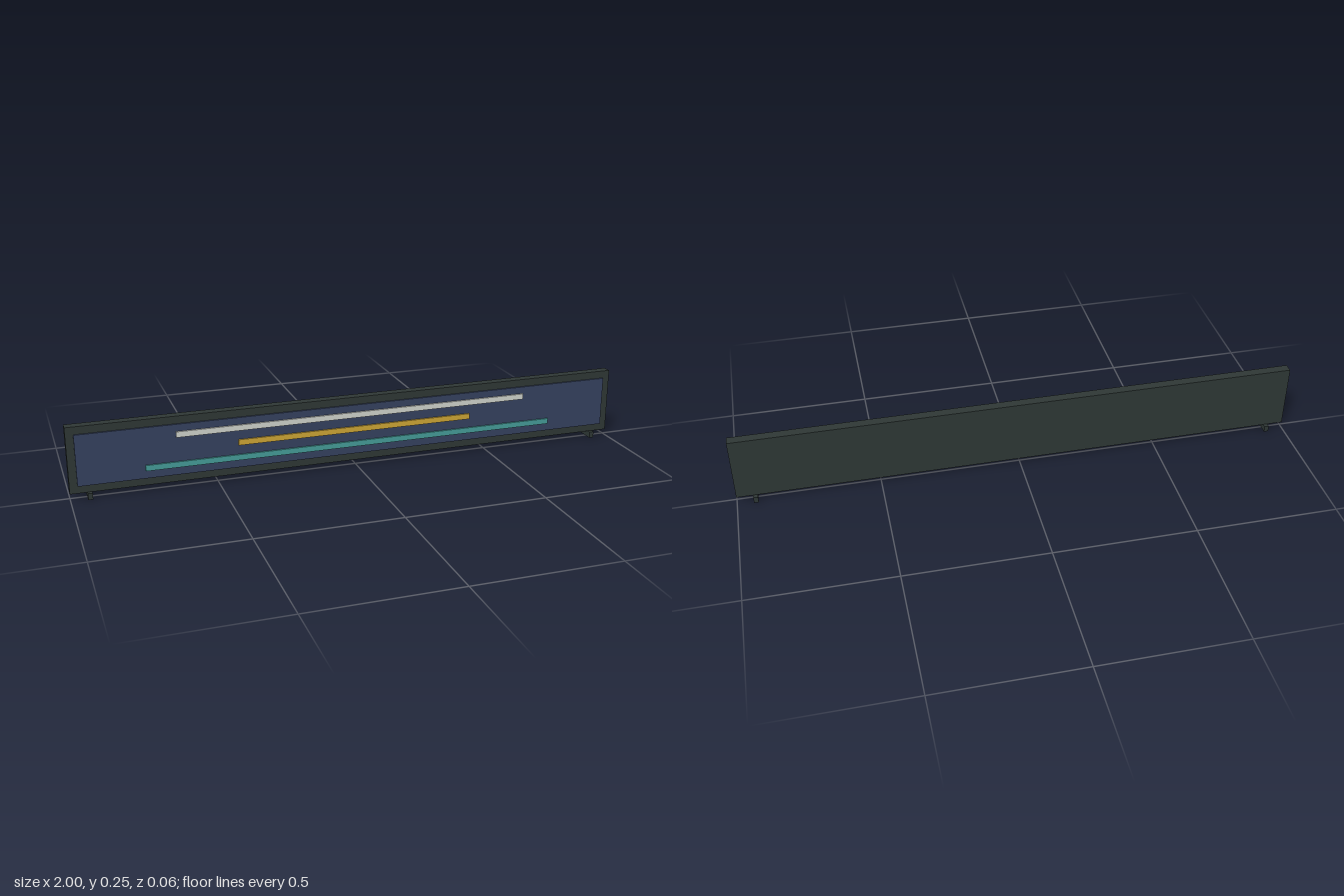
import * as THREE from 'three';

function material(name, color) {
  const m = new THREE.MeshStandardMaterial({ color });
  m.name = name;
  return m;
}

export function createModel() {
  const group = new THREE.Group();
  group.name = 'displayBoard';

  const frameMat = material('charcoal', 0x2e3735);
  const panelMat = material('navy', 0x35415f);
  const whiteMat = material('offWhite', 0xd0d3cc);
  const yellowMat = material('amber', 0xcda535);
  const tealMat = material('teal', 0x459c98);

  // Box given by its centre in x and its limits in y and z
  function box(name, mat, width, x, y0, y1, z0, z1) {
    const mesh = new THREE.Mesh(new THREE.BoxGeometry(width, y1 - y0, z1 - z0), mat);
    mesh.name = name;
    mesh.position.set(x, (y0 + y1) / 2, (z0 + z1) / 2);
    group.add(mesh);
  }

  // Board and its raised front panel
  box('board', frameMat, 2, 0, 0.0215, 0.255, -0.0165, 0.0165);
  box('frontPanel', panelMat, 1.947, 0, 0.048, 0.228, 0.0165, 0.0225);

  // Three raised stripes
  box('topStripe', whiteMat, 1.28, 0, 0.183, 0.203, 0.0225, 0.0285);
  box('middleStripe', yellowMat, 0.855, 0, 0.13, 0.15, 0.0225, 0.0285);
  box('bottomStripe', tealMat, 1.495, 0, 0.076, 0.096, 0.0225, 0.0285);

  // Feet
  for (const side of [-1, 1]) {
    box(side > 0 ? 'leftFoot' : 'rightFoot', frameMat, 0.016, side * 0.935, 0, 0.0225, -0.032, 0.032);
  }

  return group;
}
